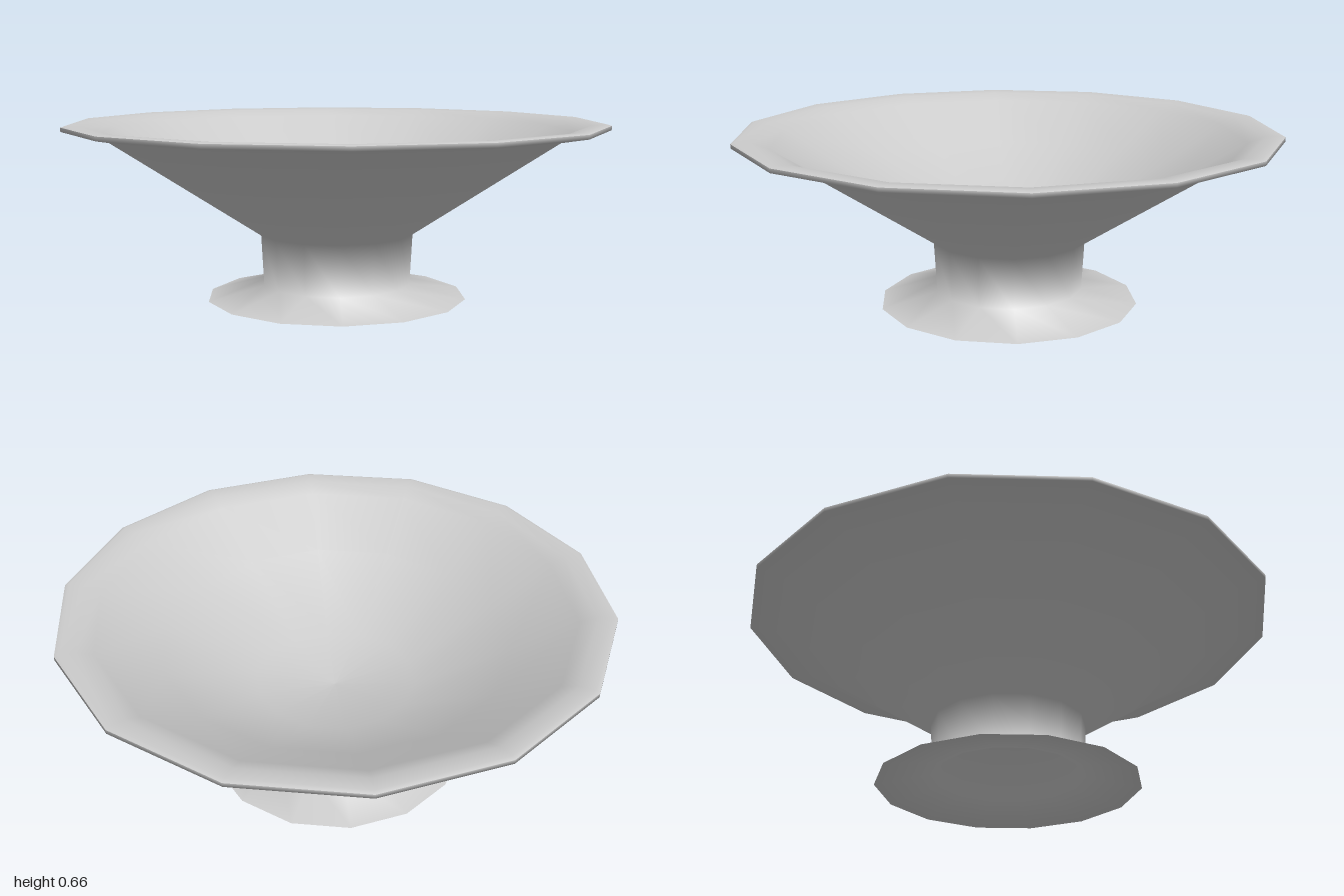
import * as THREE from 'three';

const SIDES = 14;

// Revolve a [radius, height] profile; profiles run so that faces point outward
function turned(name, profile, material) {
  const points = profile.map(([r, y]) => new THREE.Vector2(r, y));
  const mesh = new THREE.Mesh(new THREE.LatheGeometry(points, SIDES), material);
  mesh.name = name;
  return mesh;
}

export function createModel() {
  const group = new THREE.Group();
  group.name = 'pedestalBowl';
  const material = new THREE.MeshStandardMaterial({ color: 0xcccccc, side: THREE.DoubleSide });

  // Flared foot, short stem, bowl wall and the underside of the lip
  group.add(turned('footStemAndBowlOutside', [
    [0.49, 0], [0.28, 0.05], [0.29, 0.24], [0.865, 0.617], [1, 0.64], [1, 0.655],
  ], material));

  // Rim and the hollow inside of the bowl
  group.add(turned('rimAndBowlInside', [
    [1, 0.655], [0.985, 0.66], [0.93, 0.655], [0.87, 0.63],
    [0.64, 0.49], [0.3, 0.31], [0, 0.28],
  ], material));

  // Hollow underside of the foot and stem
  group.add(turned('footUnderside', [
    [0, 0.26], [0.275, 0.24], [0.265, 0.045], [0.49, 0],
  ], material));

  return group;
}
